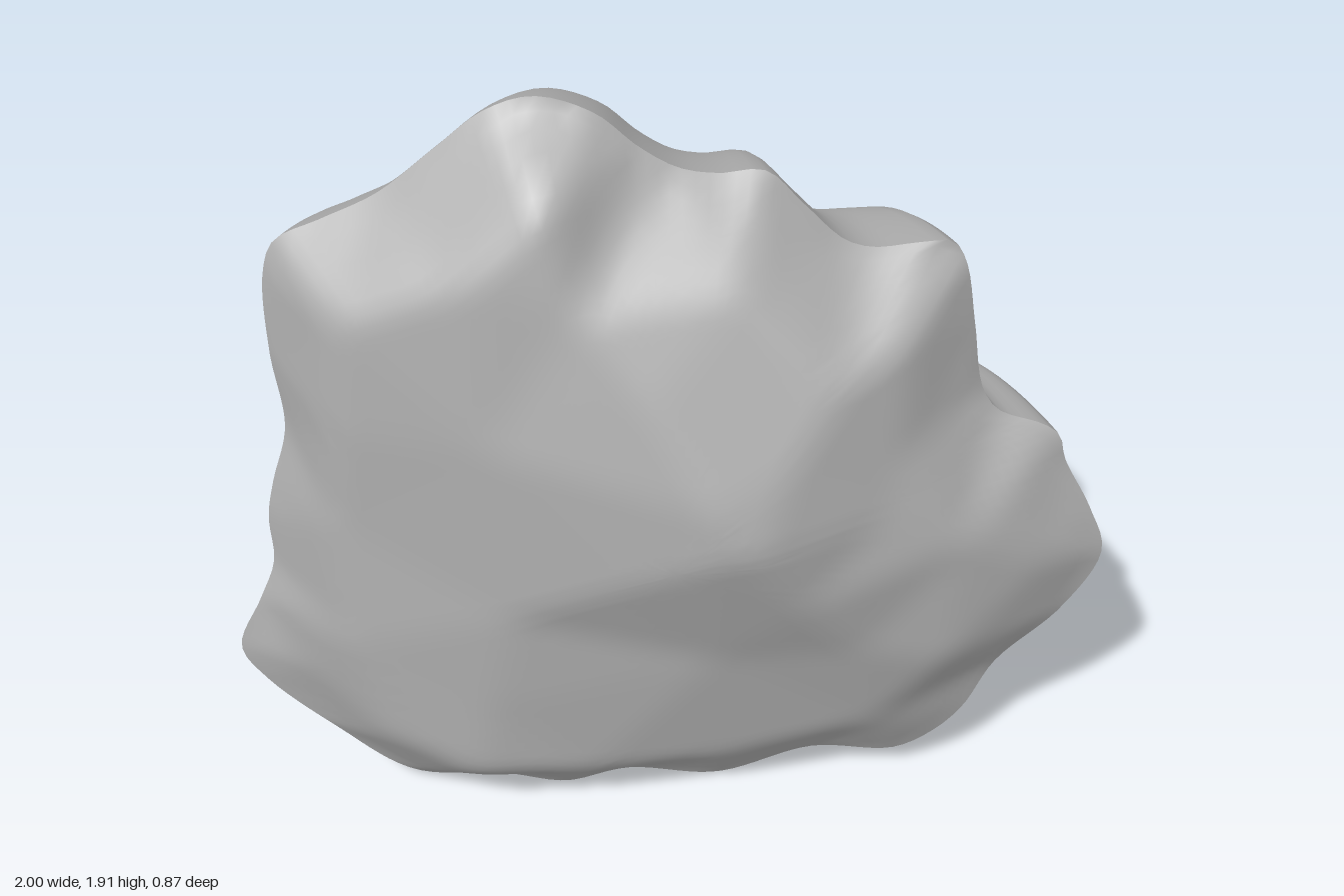
import * as THREE from 'three';

const CY = 0.95, SPOKES = 220, RINGS = 36;

// rim outline, counter-clockwise as seen from the front
const OUTLINE = [
  [1, .7], [.96, .83], [.89, .97], [.87, 1.04], [.83, 1.07], [.73, 1.11], [.69, 1.17], [.66, 1.34], [.63, 1.5], [.6, 1.55],
  [.53, 1.55], [.43, 1.54], [.37, 1.56], [.28, 1.65], [.2, 1.73], [.1, 1.725], [.02, 1.74], [-.06, 1.79], [-.15, 1.87], [-.27, 1.91],
  [-.37, 1.88], [-.48, 1.79], [-.6, 1.69], [-.72, 1.63], [-.82, 1.58], [-.85, 1.5], [-.855, 1.3], [-.84, 1.1], [-.88, .95], [-.9, .85],
  [-.9, .72], [-.94, .61], [-1, .46], [-.95, .36], [-.8, .2], [-.62, .05], [-.4, .03], [-.25, 0], [-.1, .04], [.12, .02],
  [.35, .1], [.55, .09], [.64, .14], [.71, .22], [.78, .37], [.92, .53],
];

// corners of the front's facets: x, y, z
const RELIEF = [
  [.18, 1.01, .435], [.08, 1.12, .43], [.08, .99, .43],               // peak
  [-.12, .88, .365], [-.36, .74, .285], [-.42, .45, .25],             // ridge to the lower right side
  [-.05, 1.35, .355], [-.2, 1.54, .28], [-.25, 1.77, .24],            // ridge to the top
  [-.27, 1.86, .07], [-.4, 1.62, .26],
  [.25, 1.2, .37], [.36, 1.36, .3], [.5, 1.42, .22],                  // ridge to the upper left side
  [.15, 1.57, .24], [.5, 1.14, .25], [.45, 1.0, .29],
  [.28, .8, .36], [.42, .6, .27], [.63, .52, .22], [.47, .3, .18],    // lower left side
  [.65, .88, .24], [.85, .75, .15], [.75, .98, .16],
  [.1, .6, .28], [.12, .2, .18], [-.2, .19, .21], [-.45, .21, .23],   // lower face
  [-.65, .3, .19], [-.72, .6, .195], [-.85, .45, .08],                // right side
  [-.74, .95, .18], [-.72, 1.2, .2], [-.7, 1.48, .2], [-.4, 1.2, .29],
];

const rimZ = x => 0.045 + 0.015 * x;

// Delaunay facets through the points, returned as a height function
function facetedSurface(points) {
  const n = points.length, facets = [];
  for (let i = 0; i < n; i++) for (let j = i + 1; j < n; j++) for (let k = j + 1; k < n; k++) {
    const [a, b, c] = [points[i], points[j], points[k]];
    const bx = b[0] - a[0], by = b[1] - a[1], cx = c[0] - a[0], cy = c[1] - a[1];
    const d = bx * cy - by * cx;
    if (Math.abs(d) < 1e-6) continue;
    const b2 = bx * bx + by * by, c2 = cx * cx + cy * cy;
    const ux = (cy * b2 - by * c2) / (2 * d), uy = (bx * c2 - cx * b2) / (2 * d);
    const limit = ux * ux + uy * uy - 1e-9;
    const empty = points.every(p => (p[0] - a[0] - ux) ** 2 + (p[1] - a[1] - uy) ** 2 >= limit);
    if (empty) facets.push({ a, b, c, bx, by, cx, cy, d });
  }
  return (x, y) => {
    for (const { a, b, c, bx, by, cx, cy, d } of facets) {
      const px = x - a[0], py = y - a[1];
      const v = (px * cy - py * cx) / d, w = (bx * py - by * px) / d;
      if (v >= -1e-6 && w >= -1e-6 && v + w <= 1 + 1e-6) return a[2] + v * (b[2] - a[2]) + w * (c[2] - a[2]);
    }
    return rimZ(x);
  };
}

// rings of vertices from the rim inward to a central point
function shell(point, facesFront) {
  const pos = [], index = [];
  for (let r = 0; r < RINGS; r++)
    for (let i = 0; i < SPOKES; i++) pos.push(...point(i, 1 - r / RINGS));
  pos.push(...point(0, 0));
  const tri = (a, b, c) => facesFront ? index.push(a, b, c) : index.push(a, c, b);
  for (let r = 0; r < RINGS; r++)
    for (let i = 0; i < SPOKES; i++) {
      const j = (i + 1) % SPOKES, a = r * SPOKES + i, b = r * SPOKES + j;
      if (r === RINGS - 1) tri(a, b, RINGS * SPOKES);
      else {
        tri(a, b, b + SPOKES);
        tri(a, b + SPOKES, a + SPOKES);
      }
    }
  const g = new THREE.BufferGeometry();
  g.setAttribute('position', new THREE.Float32BufferAttribute(pos, 3));
  g.setIndex(index);
  g.computeVertexNormals();
  return g;
}

export function createModel() {
  const group = new THREE.Group();
  group.name = 'rock';
  const stone = new THREE.MeshStandardMaterial({ color: 0xb0b0b0 });
  stone.name = 'grey stone';

  const curve = new THREE.CatmullRomCurve3(OUTLINE.map(([x, y]) => new THREE.Vector3(x, y, 0)), true);
  const rim = curve.getSpacedPoints(SPOKES).slice(0, SPOKES);

  // softened outline that the back's ribs fade into
  const soft = rim.map((_, i) => {
    const v = new THREE.Vector3();
    for (let k = -10; k <= 10; k++) v.add(rim[(i + k + SPOKES) % SPOKES]);
    return v.divideScalar(21);
  });

  // faceted front, its creases rounded by averaging nearby heights
  const height = facetedSurface([...RELIEF, ...OUTLINE.map(([x, y]) => [x, y, rimZ(x)])]);
  const front = shell((i, s) => {
    const x = rim[i].x * s, y = CY + (rim[i].y - CY) * s;
    if (s === 1) return [x, y, rimZ(x)];
    const reach = Math.min(0.045, (1 - s) * 0.35);
    let z = height(x, y) * 2;
    for (let k = 0; k < 8; k++) z += height(x + reach * Math.cos(k * Math.PI / 4), y + reach * Math.sin(k * Math.PI / 4));
    return [x, y, z / 10];
  }, true);

  // ribbed, rounded back with a flat middle
  const back = shell((i, t) => {
    const s = Math.sin(t * Math.PI / 2); // closer rings near the rim
    const fade = THREE.MathUtils.smoothstep(s, 0.45, 0.9);
    const p = soft[i].clone().lerp(rim[i], fade);
    const x = p.x * s, z0 = rimZ(x);
    return [x, CY + (p.y - CY) * s, z0 - (z0 + 0.435) * (1 - s ** 5.4)];
  }, false);

  for (const [name, geometry] of [['facetedFront', front], ['roundedBack', back]]) {
    const mesh = new THREE.Mesh(geometry, stone);
    mesh.name = name;
    group.add(mesh);
  }
  return group;
}
